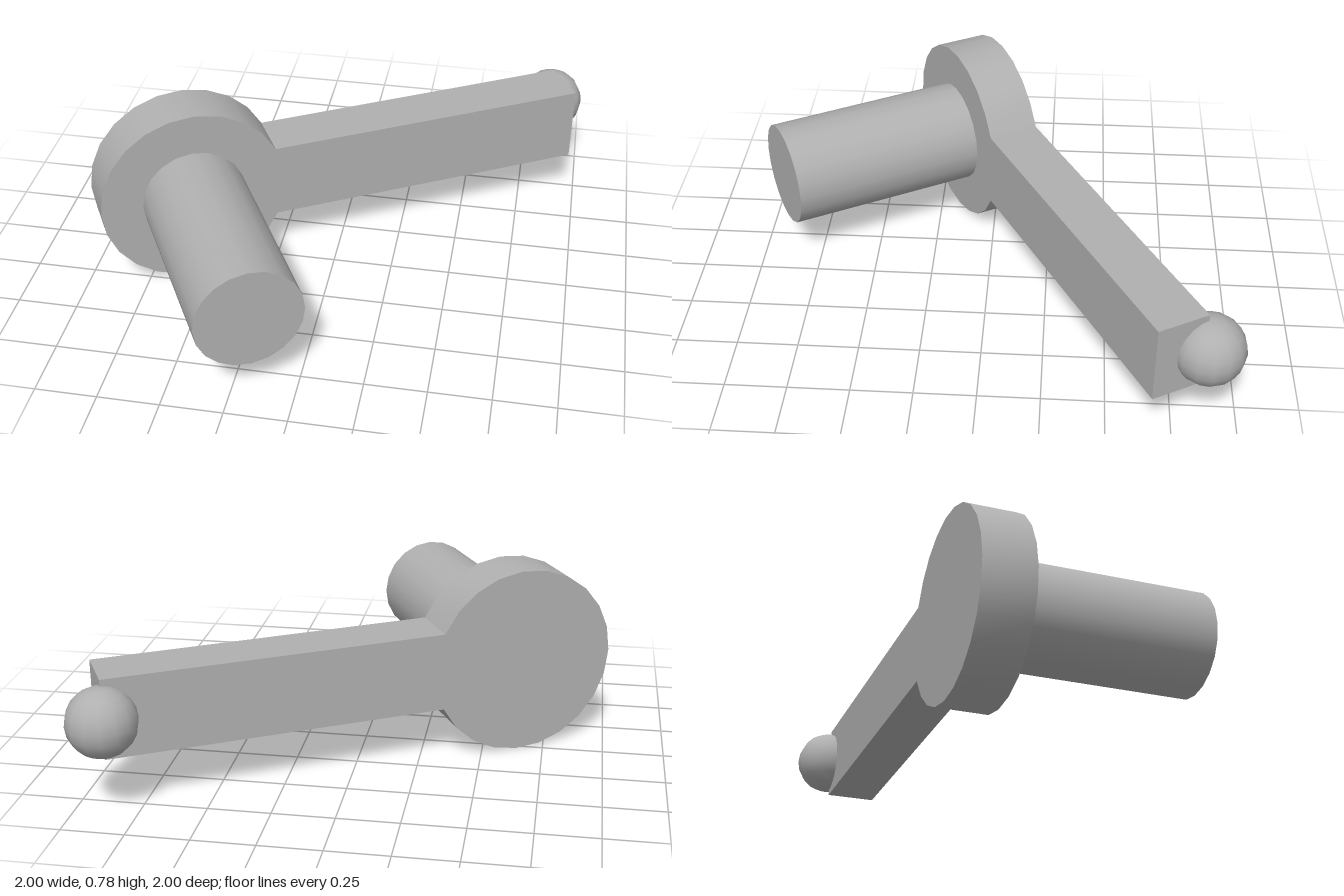
import * as THREE from 'three';
import { toCreasedNormals } from 'three/addons/utils/BufferGeometryUtils.js';

export function createModel() {
  const model = new THREE.Group();
  model.name = 'crankHandle';
  const grey = new THREE.MeshStandardMaterial({ color: 0xb0b0b0 });
  grey.name = 'grey';

  // Local frame: x runs along the arm, z along the grip, origin at the back of the hub
  const crank = new THREE.Group();
  crank.name = 'crank';
  crank.position.set(-0.659, 0.391, -0.009);
  crank.rotation.y = THREE.MathUtils.degToRad(29);
  model.add(crank);

  const add = (name, geometry, x = 0, y = 0, z = 0) => {
    const mesh = new THREE.Mesh(geometry, grey);
    mesh.name = name;
    mesh.position.set(x, y, z);
    crank.add(mesh);
    return mesh;
  };

  // Round hub and flat arm as one plate
  const hubRadius = 0.391, thickness = 0.215, armHalf = 0.163, armLength = 1.736;
  const join = Math.asin(armHalf / hubRadius);
  const outline = new THREE.Shape();
  outline.moveTo(armLength, -armHalf);
  outline.lineTo(armLength, armHalf);
  outline.absarc(0, 0, hubRadius, join, Math.PI * 2 - join, false);
  outline.closePath();
  const plate = new THREE.ExtrudeGeometry(outline, {
    depth: thickness, bevelEnabled: false, curveSegments: 10,
  });
  add('hubAndArm', toCreasedNormals(plate, Math.PI / 6));

  // Round grip standing on the front of the hub
  const gripLength = 0.818;
  const grip = new THREE.CylinderGeometry(0.217, 0.217, gripLength, 20);
  grip.rotateX(Math.PI / 2);
  add('grip', grip, 0, 0, thickness + gripLength / 2);

  // Ball at the back of the arm's tip
  add('ball', new THREE.SphereGeometry(0.139, 14, 10), armLength + 0.004, 0, -0.013);

  return model;
}
